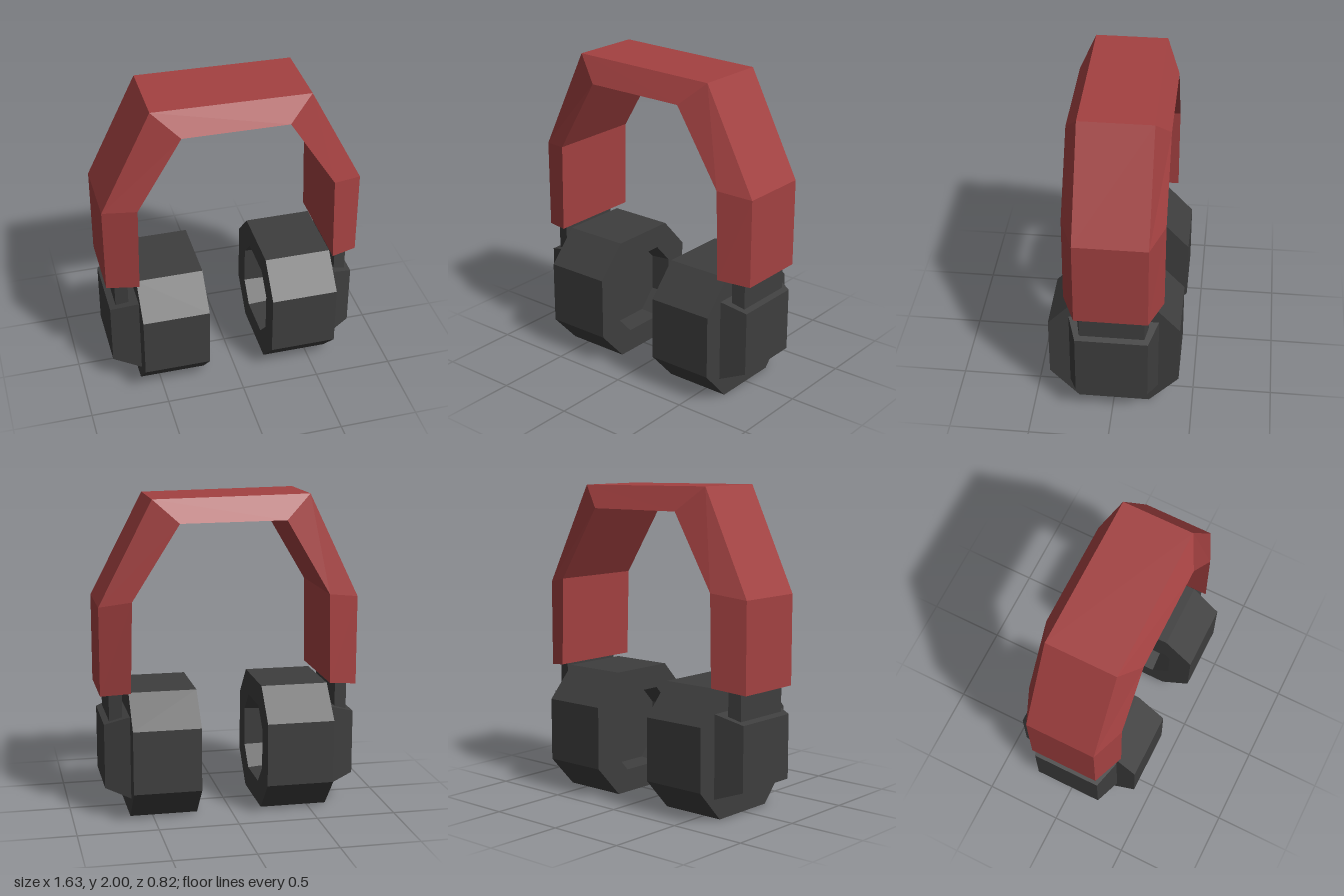
import * as THREE from 'three';

// Flat-faced skin through matching convex rings of [x, y, z], capped at both ends
function loft(rings, flip = false) {
  const pos = [];
  const tri = (a, b, c) => pos.push(...a, ...(flip ? c : b), ...(flip ? b : c));
  const n = rings[0].length;
  for (let r = 0; r < rings.length - 1; r++) {
    const a = rings[r], b = rings[r + 1];
    for (let i = 0; i < n; i++) {
      const j = (i + 1) % n;
      tri(a[i], a[j], b[j]);
      tri(a[i], b[j], b[i]);
    }
  }
  const first = rings[0], last = rings[rings.length - 1];
  for (let i = 1; i < n - 1; i++) {
    tri(first[0], first[i + 1], first[i]);
    tri(last[0], last[i], last[i + 1]);
  }
  const g = new THREE.BufferGeometry();
  g.setAttribute('position', new THREE.Float32BufferAttribute(pos, 3));
  g.computeVertexNormals();
  return g;
}

// Octagon standing across the x axis
const octagon = (x, s) => [
  [0.4, 0.225], [0.2, 0.41], [-0.2, 0.41], [-0.4, 0.225],
  [-0.4, -0.225], [-0.2, -0.41], [0.2, -0.41], [0.4, -0.225],
].map(([y, z]) => [x, 0.4 + y * s, z * s]);

// Rectangle standing across the x axis
const rect = (x, y0, y1, z) => [[x, y1, -z], [x, y1, z], [x, y0, z], [x, y0, -z]];

export function createModel() {
  const red = new THREE.MeshStandardMaterial({ color: 0xa34141, flatShading: true });
  red.name = 'bandRed';
  const dark = new THREE.MeshStandardMaterial({ color: 0x3e3e3e, flatShading: true });
  dark.name = 'cupCharcoal';

  const model = new THREE.Group();
  model.name = 'headphones';
  const add = (parent, name, geometry, material) => {
    const mesh = new THREE.Mesh(geometry, material);
    mesh.name = name;
    parent.add(mesh);
  };

  // Headband: narrow outer face, wider inner face; slightly uneven arch
  const path = [ // outer x, y, inner x, y
    [-0.815, 0.785, -0.62, 0.82], [-0.815, 1.35, -0.61, 1.385],
    [-0.5, 2.0, -0.335, 1.85], [0.48, 1.985, 0.325, 1.845],
    [0.815, 1.34, 0.62, 1.38], [0.815, 0.785, 0.635, 0.815],
  ];
  const band = path.map(([ox, oy, ix, iy]) => [
    [ix, iy, 0.31], [ix, iy, -0.31], [ox, oy, -0.225], [ox, oy, 0.225],
  ]);
  add(model, 'headband', loft(band), red);

  // Ear cups, each skinned from the outside towards the centre
  for (const [name, s, outer, inner, cap] of [
    ['rightEarCup', -1, -0.625, -0.2, -0.8],
    ['leftEarCup', 1, 0.64, 0.215, 0.795],
  ]) {
    const side = new THREE.Group();
    side.name = name;
    model.add(side);
    const flip = s > 0;

    // Octagonal cushion with a recess for the ear
    add(side, 'cushion', loft([
      octagon(outer, 1), octagon(inner, 1),
      octagon(inner, 0.63), octagon(inner + s * 0.13, 0.6),
    ], flip), dark);

    // Bevelled outer housing
    add(side, 'housing', loft([
      rect(cap, 0.195, 0.605, 0.225), rect(outer, 0.135, 0.66, 0.28),
    ], flip), dark);

    // Stem joining the housing to the headband
    add(side, 'stem', loft([
      rect(s * 0.76, 0.58, 0.805, 0.2), rect(s * 0.68, 0.58, 0.82, 0.22),
    ], flip), dark);
  }
  return model;
}
